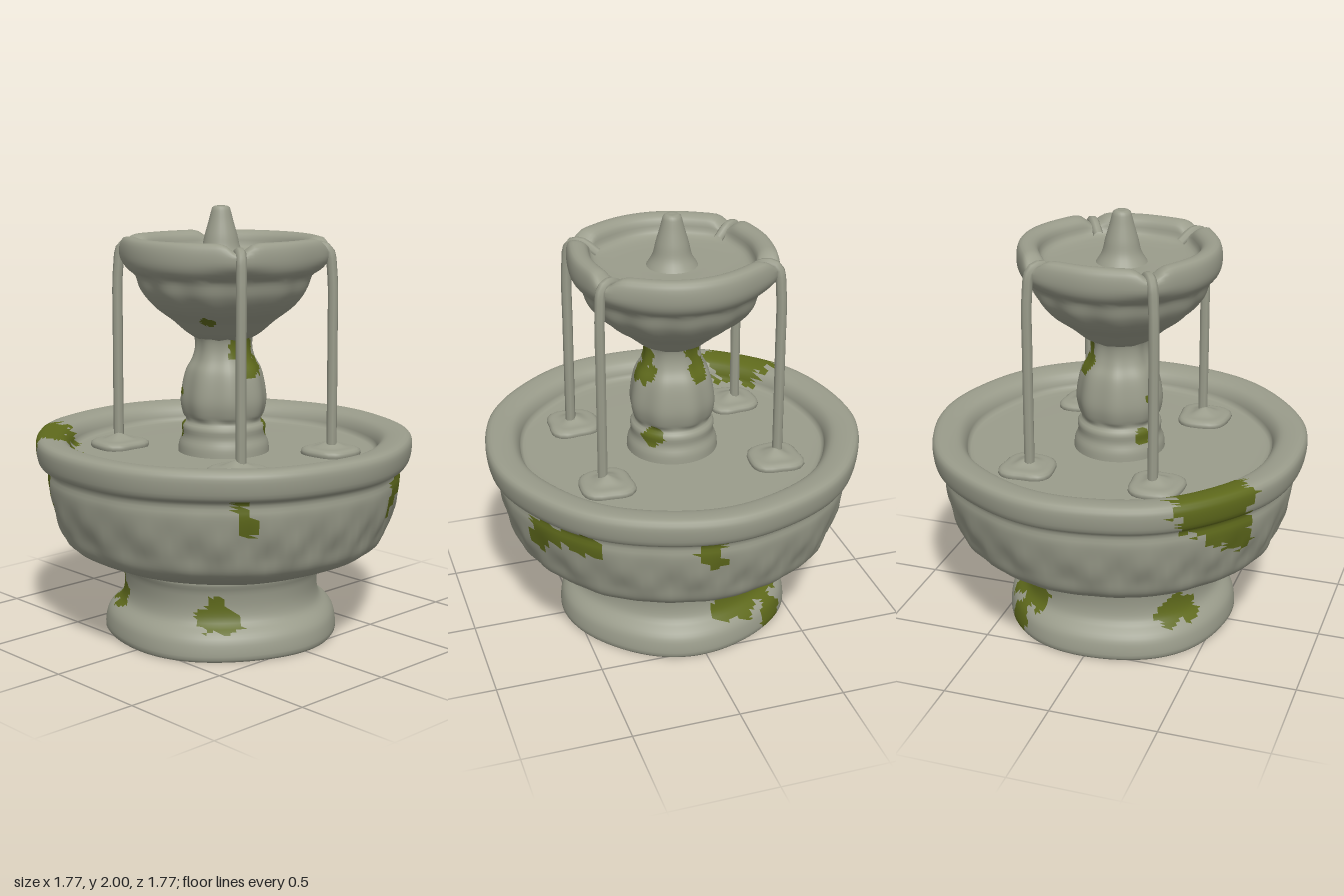
import * as THREE from 'three';
import { mergeVertices } from 'three/addons/utils/BufferGeometryUtils.js';

const stone = new THREE.MeshStandardMaterial({ color: 0x9a9c8b });
stone.name = 'weathered stone';
const moss = new THREE.MeshStandardMaterial({ color: 0x5f6a1c });
moss.name = 'moss green';

const rad = THREE.MathUtils.degToRad;

// Turned stone piece: soft profile [radius, y], optional warp of the vertices,
// and moss spots [angle from front in degrees, radius, y, spot size].
function turned(name, profile, rings, { spots = [], warp, segments = 120 } = {}) {
  const curve = new THREE.CatmullRomCurve3(
    profile.map(([r, y]) => new THREE.Vector3(r, y, 0)), false, 'centripetal');
  const points = curve.getSpacedPoints(rings)
    .map(p => new THREE.Vector2(Math.max(p.x, 0), Math.max(p.y, 0)));
  let geo = new THREE.LatheGeometry(points, segments);
  geo.deleteAttribute('uv');
  geo.deleteAttribute('normal');
  geo = mergeVertices(geo, 1e-5);
  const pos = geo.attributes.position;
  const v = new THREE.Vector3();

  // Sort the faces into bare stone and mossy stone
  const centres = spots.map(([a, r, y, size]) => ({
    p: new THREE.Vector3(r * Math.sin(rad(a)), y, r * Math.cos(rad(a))), size }));
  const isMossy = p => centres.some(c => {
    const ragged = 1 + 0.14 * Math.sin(p.x * 71 + p.y * 53) + 0.12 * Math.sin(p.z * 83 - p.y * 97);
    return p.distanceTo(c.p) < c.size * ragged;
  });
  const bare = [], mossy = [], index = geo.index.array;
  for (let i = 0; i < index.length; i += 3) {
    const tri = [index[i], index[i + 1], index[i + 2]];
    const mid = new THREE.Vector3();
    tri.forEach(k => mid.add(v.fromBufferAttribute(pos, k)));
    (isMossy(mid.divideScalar(3)) ? mossy : bare).push(...tri);
  }
  geo.setIndex([...bare, ...mossy]);
  geo.addGroup(0, bare.length, 0);
  if (mossy.length) geo.addGroup(bare.length, mossy.length, 1);

  if (warp) {
    for (let i = 0; i < pos.count; i++) {
      v.fromBufferAttribute(pos, i);
      warp(v, Math.atan2(v.x, v.z));
      pos.setXYZ(i, v.x, v.y, v.z);
    }
  }
  geo.computeVertexNormals();
  const mesh = new THREE.Mesh(geo, [stone, moss]);
  mesh.name = name;
  return mesh;
}

const scaleRadius = (v, s) => { v.x *= s; v.z *= s; };

export function createModel() {
  const fountain = new THREE.Group();
  fountain.name = 'fountain';

  // Round foot
  const base = turned('base', [
    [0, 0], [0.3, 0], [0.54, 0], [0.55, 0.01], [0.54, 0.09], [0.52, 0.12],
    [0.475, 0.16], [0.46, 0.21], [0.465, 0.3], [0.48, 0.35], [0.46, 0.37],
  ], 60, {
    spots: [
      [-46, 0.47, 0.24, 0.05], [-50, 0.48, 0.18, 0.06], [-40, 0.48, 0.17, 0.06],
      [103, 0.47, 0.17, 0.07], [115, 0.47, 0.19, 0.1], [127, 0.47, 0.23, 0.11],
      [137, 0.47, 0.2, 0.1], [134, 0.53, 0.06, 0.08], [134, 0.5, 0, 0.08],
      [-128, 0.47, 0.2, 0.07], [-135, 0.47, 0.17, 0.06], [-121, 0.47, 0.17, 0.06],
    ],
    warp: (v, a) => scaleRadius(v, 1 + 0.012 * Math.sin(5 * a + 1)),
  });
  base.position.x = -0.012;
  fountain.add(base);

  // Large basin with its rim and still water floor
  fountain.add(turned('basin', [
    [0.42, 0.33], [0.48, 0.345], [0.57, 0.37], [0.7, 0.425], [0.755, 0.47], [0.785, 0.55],
    [0.815, 0.65], [0.83, 0.75], [0.825, 0.79], [0.835, 0.81], [0.865, 0.825], [0.878, 0.86],
    [0.88, 0.93], [0.865, 0.948], [0.8, 0.95], [0.75, 0.935], [0.725, 0.9], [0.715, 0.865],
    [0.69, 0.86], [0.4, 0.86], [0, 0.86],
  ], 110, {
    spots: [
      [46, 0.83, 0.76, 0.07], [40, 0.83, 0.75, 0.06], [33, 0.82, 0.74, 0.05],
      [27, 0.82, 0.72, 0.07], [25, 0.82, 0.65, 0.05],
      [-36, 0.82, 0.7, 0.05], [-37, 0.82, 0.76, 0.025], [-39, 0.83, 0.8, 0.03],
      [84, 0.83, 0.77, 0.06], [86, 0.83, 0.7, 0.045],
      [-128, 0.82, 0.9, 0.13], [-138, 0.82, 0.9, 0.13],
      [-125, 0.83, 0.78, 0.1], [-122, 0.82, 0.7, 0.08], [-130, 0.82, 0.76, 0.08],
    ],
    warp: (v, a) => {
      // Worn relief round the belly, slight unevenness on the rim
      const belly = Math.exp(-(((v.y - 0.57) / 0.12) ** 2));
      const relief = Math.sin(17 * a + 14 * v.y) + Math.sin(29 * a - 22 * v.y);
      scaleRadius(v, 1 + 0.007 * belly * relief + 0.004 * Math.sin(9 * a));
    },
  }));

  // Vase-shaped column
  fountain.add(turned('column', [
    [0.215, 0.85], [0.21, 0.9], [0.195, 0.94], [0.195, 0.99], [0.175, 1.01], [0.187, 1.04],
    [0.198, 1.1], [0.19, 1.18], [0.172, 1.25], [0.145, 1.3], [0.132, 1.35], [0.135, 1.4], [0.15, 1.43],
  ], 44, {
    segments: 72,
    spots: [
      [-12, 0.14, 1.36, 0.055], [8, 0.14, 1.34, 0.055], [0, 0.15, 1.26, 0.05], [28, 0.15, 1.27, 0.045],
      [125, 0.15, 1.29, 0.06], [120, 0.13, 1.38, 0.045], [45, 0.19, 0.98, 0.05],
      [-120, 0.18, 1.15, 0.025], [-130, 0.19, 0.97, 0.04],
    ],
    warp: (v, a) => { if (v.y > 1.03) scaleRadius(v, 1 + 0.025 * Math.sin(8 * a)); },
  }));

  // Upper bowl, its rim dipping and pushing outward at the four spouts
  const spoutAngles = [35, -35, 145, -145].map(rad);
  fountain.add(turned('upperBowl', [
    [0.12, 1.39], [0.17, 1.42], [0.24, 1.48], [0.33, 1.55], [0.385, 1.62], [0.412, 1.69],
    [0.445, 1.72], [0.462, 1.76], [0.46, 1.83], [0.445, 1.858], [0.4, 1.86], [0.37, 1.84],
    [0.355, 1.79], [0.33, 1.775], [0.15, 1.765], [0, 1.765],
  ], 72, {
    spots: [[-60, 0.26, 1.5, 0.035], [120, 0.15, 1.41, 0.03]],
    warp: (v, a) => {
      const r = Math.hypot(v.x, v.z);
      let near = 0, lip = 0;
      for (const s of spoutAngles) {
        const d = Math.atan2(Math.sin(a - s), Math.cos(a - s));
        near += Math.exp(-((d / 0.1) ** 2));
        lip += Math.exp(-((d / 0.25) ** 2));
      }
      const high = THREE.MathUtils.smoothstep(v.y, 1.68, 1.78);
      if (r > 0.3) {
        if (v.y > 1.8) v.y -= 0.045 * near * (v.y - 1.8) / 0.06;
        scaleRadius(v, 1 + 0.06 * lip * high);
      }
      if (v.y < 1.7) scaleRadius(v, 1 + 0.015 * Math.sin(13 * a + 5 * v.y));
    },
  }));

  // Central finial
  const finial = turned('finial', [
    [0.12, 1.76], [0.09, 1.81], [0.075, 1.87], [0.055, 1.94], [0.043, 1.985], [0.036, 2], [0, 2],
  ], 20, { segments: 24 });
  finial.position.set(-0.012, 0, -0.005);
  fountain.add(finial);

  // Falling streams and the splashes where they land
  for (const sx of [1, -1]) {
    for (const sz of [1, -1]) {
      const path = new THREE.CatmullRomCurve3([
        [0.2, 1.78, 0.29], [0.245, 1.825, 0.355], [0.275, 1.81, 0.4], [0.288, 1.7, 0.415],
        [0.292, 1.4, 0.418], [0.293, 0.87, 0.42],
      ].map(([x, y, z]) => new THREE.Vector3(sx * x, y, sz * z)));
      const stream = new THREE.Mesh(new THREE.TubeGeometry(path, 40, 0.024, 8), stone);
      stream.name = 'stream';
      fountain.add(stream);

      const splash = turned('splash', [
        [0.125, 0], [0.132, 0.02], [0.115, 0.035], [0.07, 0.04], [0.035, 0.055], [0, 0.07],
      ], 12, {
        segments: 28,
        warp: (v, a) => scaleRadius(v, 1 + 0.07 * Math.cos(4 * a + Math.PI) + 0.04 * Math.sin(3 * a + sx)),
      });
      splash.position.set(sx * 0.305, 0.855, sz * 0.405);
      fountain.add(splash);
    }
  }

  return fountain;
}
